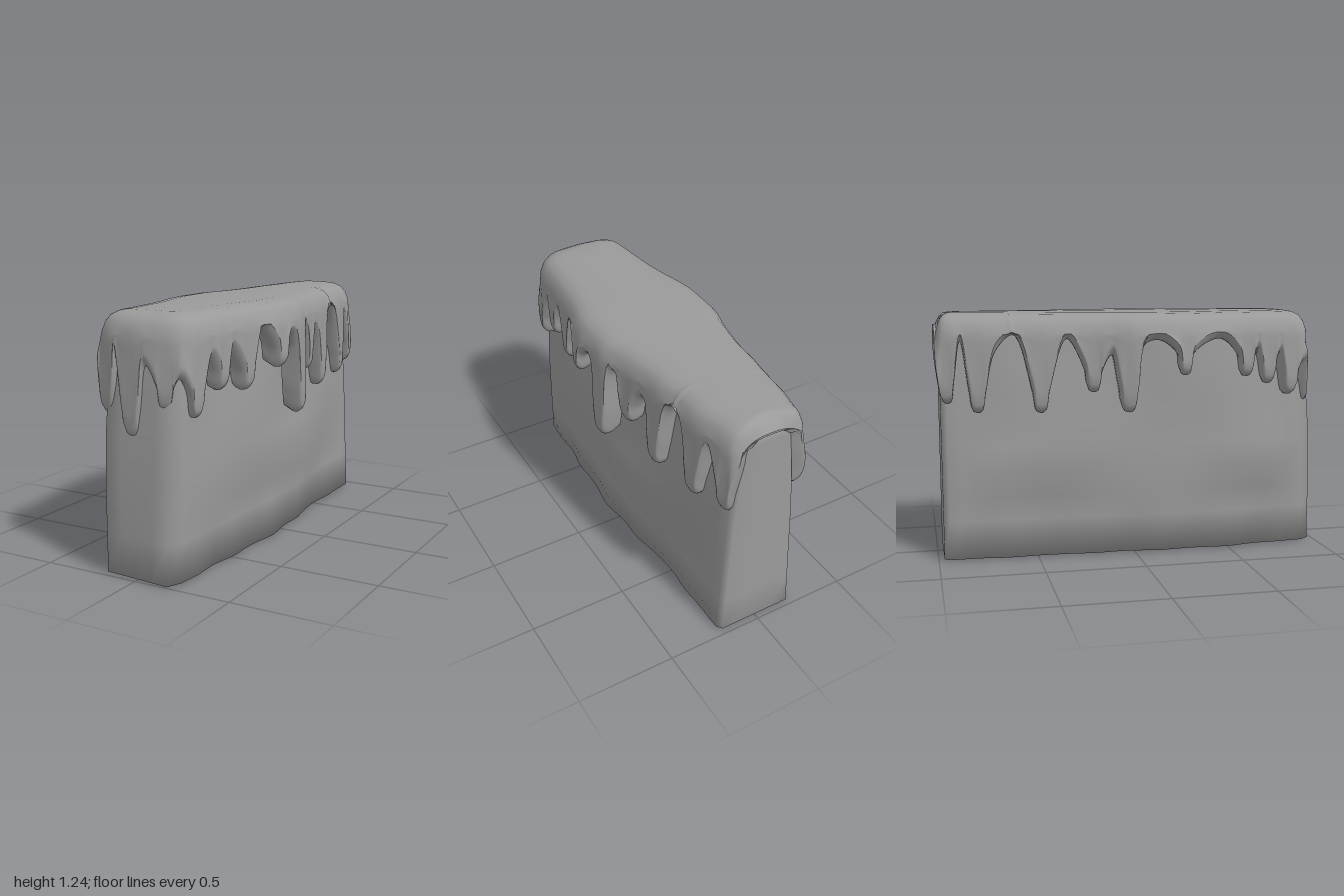
import * as THREE from 'three';

const { lerp, clamp, smoothstep } = THREE.MathUtils;

// Piecewise-linear lookup in a table of [position, value], positions ascending
function sample(table, t) {
  if (t <= table[0][0]) return table[0][1];
  for (let i = 1; i < table.length; i++) {
    const [a, va] = table[i - 1], [b, vb] = table[i];
    if (t <= b) return lerp(va, vb, (t - a) / (b - a));
  }
  return table[table.length - 1][1];
}

// Skin a stack of closed rings that run clockwise seen from above, bottom to top
function loft(name, rings, material) {
  const n = rings[0].length, pos = [], index = [];
  rings.forEach(r => r.forEach(p => pos.push(p.x, p.y, p.z)));
  for (let j = 0; j < rings.length - 1; j++) {
    for (let i = 0; i < n; i++) {
      const a = j * n + i, b = j * n + (i + 1) % n;
      index.push(a, a + n, b, b, a + n, b + n);
    }
  }
  const geometry = new THREE.BufferGeometry();
  geometry.setAttribute('position', new THREE.Float32BufferAttribute(pos, 3));
  geometry.setIndex(index);
  geometry.computeVertexNormals();
  const mesh = new THREE.Mesh(geometry, material);
  mesh.name = name;
  return mesh;
}

const spine = (p, y) => new THREE.Vector3(0, y, clamp(p.z, -0.9, 0.72));

// Move an outline point towards the spine
function inset(p, amount, y) {
  const c = spine(p, y), d = c.clone().sub(p).setY(0), len = d.length();
  return new THREE.Vector3(p.x, y, p.z).addScaledVector(d, Math.min(amount, 0.8 * len) / len);
}

// Wall: lumpy sides, leaning front, flat back; few, smooth-shaded facets
const WALL_PLAN = [[-0.97, 0.2], [-0.6, 0.215], [-0.3, 0.235], [0.15, 0.25], [0.5, 0.24], [0.97, 0.205]];
const WALL_FRONT = [[0, 0.985], [0.15, 0.98], [0.6, 0.96], [1.1, 0.92], [1.19, 0.87]];
const WALL_ROWS = [0.01, 0.2, 0.32, 0.45, 0.57, 0.7, 0.85, 1, 1.12, 1.19];
const FEET = [-0.65, -0.2, 0.12, 0.5, 0.8];

function wallHalfWidth(z, y, side) {
  const ends = 1 - smoothstep(Math.abs(z), 0.7, 0.97);
  const belly = 0.047 * Math.exp(-(((y - 0.47) / 0.15) ** 2)) * (0.55 + 0.45 * Math.sin(5 * z + 1.5 * side));
  const lump = 0.008 * Math.sin(6 * z + 7 * y + side);
  let foot = 0;
  for (const f of FEET) foot += Math.exp(-(((z - f) / 0.09) ** 2));
  foot *= 0.015 * (1 - smoothstep(y, 0.02, 0.26));
  const backTaper = smoothstep(-z, 0.6, 0.97) * lerp(0.012, -0.03, clamp(y / 0.9, 0, 1));
  return sample(WALL_PLAN, z) + backTaper - 0.03 * smoothstep(y, 0.7, 1.19)
    + ends * (belly + lump + foot - 0.009);
}

function wallRing(y) {
  const ring = [], N = 28, M = 4;
  const front = sample(WALL_FRONT, y), back = -0.972;
  const flank = side => {
    for (let i = 0; i <= N; i++) {
      const z = lerp(back + 0.03, front - 0.06, side > 0 ? i / N : 1 - i / N);
      ring.push(new THREE.Vector3(side * wallHalfWidth(z, y, side), y, z));
    }
  };
  // The front face is turned slightly, more so at the foot
  const end = (z, dir, corner, turn) => {
    const w = wallHalfWidth(z, y, dir) - corner;
    for (let i = 0; i <= M; i++) {
      const x = dir * lerp(w, -w, i / M);
      ring.push(new THREE.Vector3(x, y, z + turn * x));
    }
  };
  flank(1);
  end(front, 1, 0.03, 0.09 * (1 - smoothstep(y, 0, 0.5)));
  flank(-1);
  end(back, -1, 0.02, 0);
  return ring;
}

function makeWall(material) {
  const rings = WALL_ROWS.map(wallRing);
  return loft('wall', [
    rings[0].map(p => spine(p, 0.004)), ...rings, rings[rings.length - 1].map(p => spine(p, 1.2)),
  ], material);
}

// Icing: plan half width, and the hem's heights along each side; values under 0.97 are drips
const CAP_PLAN = [[-0.98, 0.195], [-0.9, 0.215], [-0.7, 0.25], [-0.4, 0.275], [-0.2, 0.3], [-0.03, 0.352],
  [0.2, 0.362], [0.4, 0.305], [0.6, 0.28], [0.8, 0.265], [0.9, 0.245]];
const LEFT_HEM = [[-0.94, 0.78], [-0.82, 1.06], [-0.73, 0.74], [-0.64, 1.06], [-0.57, 1.14], [-0.51, 1.07],
  [-0.43, 0.72], [-0.36, 1.0], [-0.31, 1.03], [-0.21, 0.84], [-0.14, 1.05], [-0.09, 1.07], [-0.02, 0.65],
  [0.05, 1.03], [0.11, 1.06], [0.21, 0.92], [0.34, 1.12], [0.45, 0.84], [0.57, 1.04], [0.65, 0.87],
  [0.73, 1.02], [0.85, 0.77]];
const RIGHT_HEM = [[0.83, 0.81], [0.765, 1.02], [0.7, 0.87], [0.64, 1.04], [0.58, 0.91], [0.44, 1.1],
  [0.24, 0.93], [0.11, 1.1], [0.03, 1.08], [-0.05, 0.75], [-0.13, 1.03], [-0.22, 0.85], [-0.35, 1.11],
  [-0.48, 0.75], [-0.61, 1.13], [-0.7, 1.05], [-0.79, 0.755], [-0.87, 1.1], [-0.945, 0.8]];
const FRONT_HEM = [[0.15, 0.81], [0.04, 1.0], [-0.035, 0.67], [-0.125, 1.05], [-0.187, 0.76]];

function hemPoints() {
  const points = [];
  // Each drip becomes a rounded U of four points, each gap a single point
  const run = (hem, dir, width, place) => hem.forEach(([t, y]) => {
    const drip = y < 0.97;
    const shape = drip ? [[-0.042, 0.1], [-0.02, 0], [0.02, 0], [0.042, 0.1]] : [[0, 0]];
    for (const [dt, dy] of shape) points.push(place(t + dir * width * dt, y + dy, drip ? 0.012 : 0));
  });
  const flank = side => (z, y, bulge) =>
    new THREE.Vector3(side * (sample(CAP_PLAN, z) + bulge), y, z);
  run(LEFT_HEM, 1, 1, flank(1));
  points.push(new THREE.Vector3(0.225, 0.95, 0.93));
  run(FRONT_HEM, -1, 1.1, (x, y, bulge) => new THREE.Vector3(x, y, 0.965 - 0.8 * x * x + bulge * 0.5));
  points.push(new THREE.Vector3(-0.243, 0.98, 0.92));
  run(RIGHT_HEM, -1, 1, flank(-1));
  // Thin squared lip across the back
  for (const [x, y] of [[-0.17, 1.02], [-0.14, 1.13], [0, 1.16], [0.14, 1.13], [0.17, 1.02]]) {
    points.push(new THREE.Vector3(x, y, -0.995));
  }
  return points;
}

// Even out the drips' bulges in an outline by averaging neighbours
function smoothOutline(ring, reach) {
  const n = ring.length;
  return ring.map((p, i) => {
    const sum = new THREE.Vector3();
    for (let k = -reach; k <= reach; k++) sum.add(ring[(i + k + n) % n]);
    return sum.divideScalar(2 * reach + 1).setY(p.y);
  });
}

function makeIcing(material) {
  const hem = new THREE.CatmullRomCurve3(hemPoints(), true, 'centripetal').getSpacedPoints(640);
  hem.pop();
  const soft = smoothOutline(smoothOutline(hem, 9), 9);
  const shoulder = p => Math.max(1.14, p.y + 0.02);
  const lip = p => Math.min(p.y + 0.045, shoulder(p));
  // Underside tucked into the wall, then a rounded lip
  const rings = [
    hem.map(p => inset(p, 0.11, p.y + 0.03)),
    hem.map(p => inset(p, 0.06, p.y + 0.004)),
  ];
  for (const [rise, depth] of [[0.005, 0.035], [0.02, 0.015], [0.045, 0.003]]) {
    rings.push(hem.map(p => inset(p, depth, Math.min(p.y + rise, shoulder(p)))));
  }
  // Outer face, leaning in and evening out towards the shoulder
  for (let k = 1; k <= 6; k++) {
    const t = k / 6;
    rings.push(hem.map((p, i) =>
      inset(p.clone().lerp(soft[i], t), 0.012 * t, lerp(lip(p), shoulder(p), t))));
  }
  // Rounded shoulder and flat top
  for (const [t, depth] of [[0.45, 0.03], [0.75, 0.055], [0.93, 0.095], [1, 0.15]]) {
    rings.push(soft.map(p => inset(p, depth, lerp(shoulder(p), 1.24, t))));
  }
  rings.push(soft.map(p => spine(p, 1.243)));
  return loft('drippingIcing', rings, material);
}

export function createModel() {
  const group = new THREE.Group();
  group.name = 'icedWall';
  const material = new THREE.MeshStandardMaterial({ color: 0x9a9a9a, side: THREE.DoubleSide });
  group.add(makeWall(material), makeIcing(material));
  return group;
}
